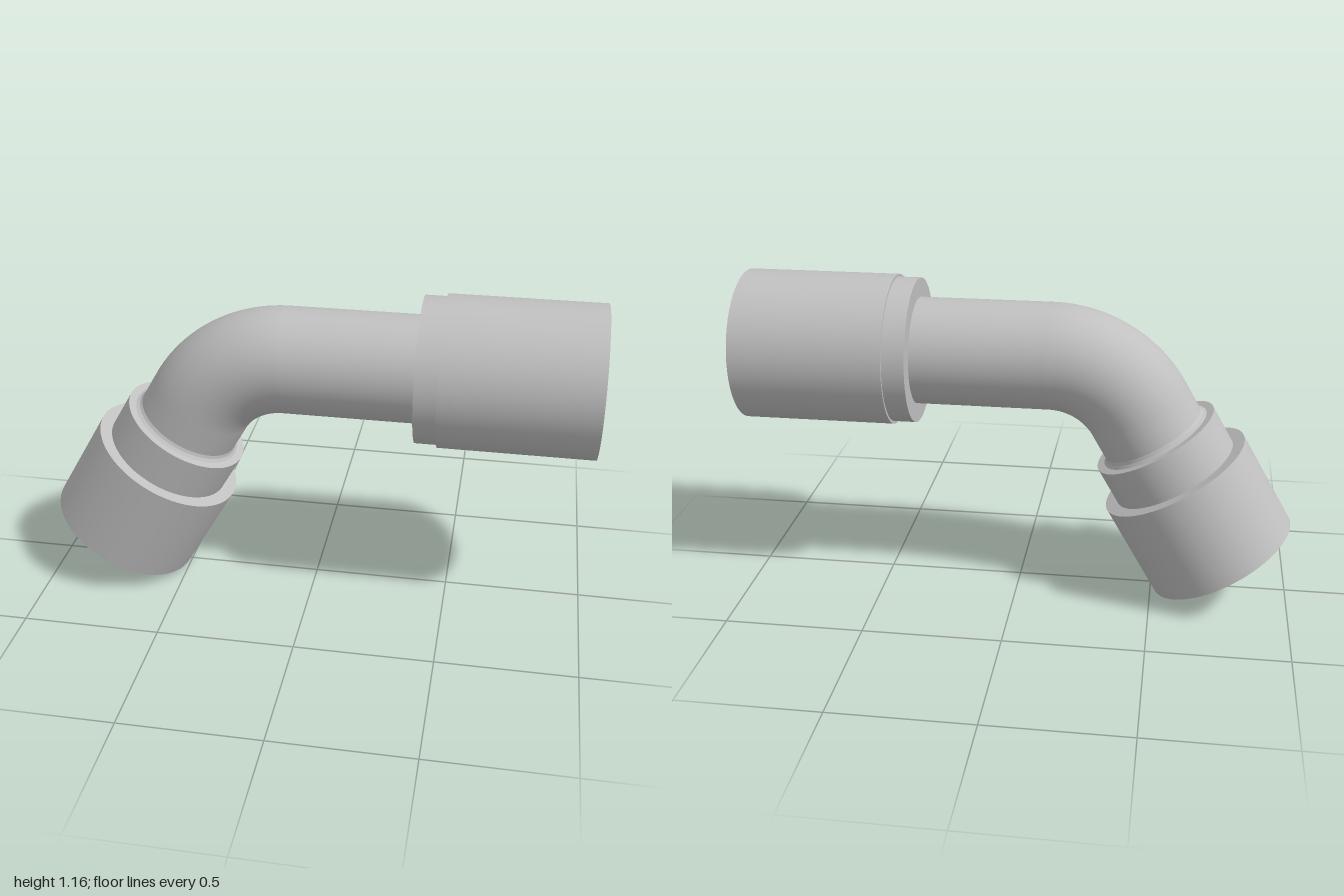
import * as THREE from 'three';
import { toCreasedNormals } from 'three/addons/utils/BufferGeometryUtils.js';

const OUTER = 0.193, BORE = 0.151; // pipe radii
const BEND = 0.37;                 // bend radius of the pipe axis
const AXIS_Y = 0.893, BEND_X = -0.11;

export function createModel() {
  const model = new THREE.Group();
  const steel = new THREE.MeshStandardMaterial({ color: 0xc0c0c0 });
  steel.name = 'grey steel';

  const add = (parent, name, geometry) => {
    const mesh = new THREE.Mesh(geometry, steel);
    mesh.name = name;
    parent.add(mesh);
    return mesh;
  };

  // Turned part from [radius, distance along axis] points, with sharp edges kept
  const turned = (parent, name, points) => add(parent, name, toCreasedNormals(
    new THREE.LatheGeometry(points.map(([r, y]) => new THREE.Vector2(r, y)), 96), 0.3));

  // Arm whose local +y runs outward along the pipe
  const arm = (name, x, y, angle) => {
    const group = new THREE.Group();
    group.name = name;
    group.position.set(x, y, 0);
    group.rotation.z = angle;
    model.add(group);
    return group;
  };

  // 60 degree pipe bend: outside skin and inward-facing bore
  const bendSkin = (name, radius, inward) => {
    const geometry = new THREE.TorusGeometry(BEND, radius, 96, 40, Math.PI / 3);
    if (inward) {
      const index = geometry.index;
      for (let i = 0; i < index.count; i += 3) {
        const b = index.getX(i + 1);
        index.setX(i + 1, index.getX(i + 2));
        index.setX(i + 2, b);
      }
      const normal = geometry.attributes.normal;
      for (let i = 0; i < normal.array.length; i++) normal.array[i] *= -1;
    }
    const mesh = add(model, name, geometry);
    mesh.position.set(BEND_X, AXIS_Y - BEND, 0);
    mesh.rotation.z = Math.PI / 2;
  };
  bendSkin('pipeBend', OUTER, false);
  bendSkin('pipeBendBore', BORE, true);

  // Straight arm: pipe with coned nose, surrounded by a swivel nut
  const straight = arm('straightArm', BEND_X, AXIS_Y, -Math.PI / 2);
  turned(straight, 'straightPipe', [
    [OUTER, 0], [OUTER, 1.04], [0.167, 1.095], [BORE, 1.095], [BORE, 0],
  ]);
  turned(straight, 'swivelNut', [
    [OUTER, 0.48], [0.262, 0.48], [0.262, 0.56], [0.272, 0.56], [0.272, 1.11],
    [0.246, 1.11], [0.219, 0.97], [OUTER, 0.95],
  ]);

  // Slanted arm: pipe with a stepped socket
  const slantX = BEND_X - BEND * Math.cos(Math.PI / 6);
  const slantY = AXIS_Y - BEND * 0.5;
  const slanted = arm('slantedArm', slantX, slantY, Math.PI * 5 / 6);
  turned(slanted, 'slantedPipe', [
    [OUTER, 0], [OUTER, 0.5], [0.167, 0.54], [BORE, 0.54], [BORE, 0],
  ]);
  turned(slanted, 'steppedSocket', [
    [OUTER, 0.105], [0.198, 0.116], [0.208, 0.125], [0.237, 0.125], [0.237, 0.276],
    [0.284, 0.276], [0.284, 0.648], [0.268, 0.648], [0.255, 0.625], [0.255, 0.42], [OUTER, 0.4],
  ]);

  return model;
}
